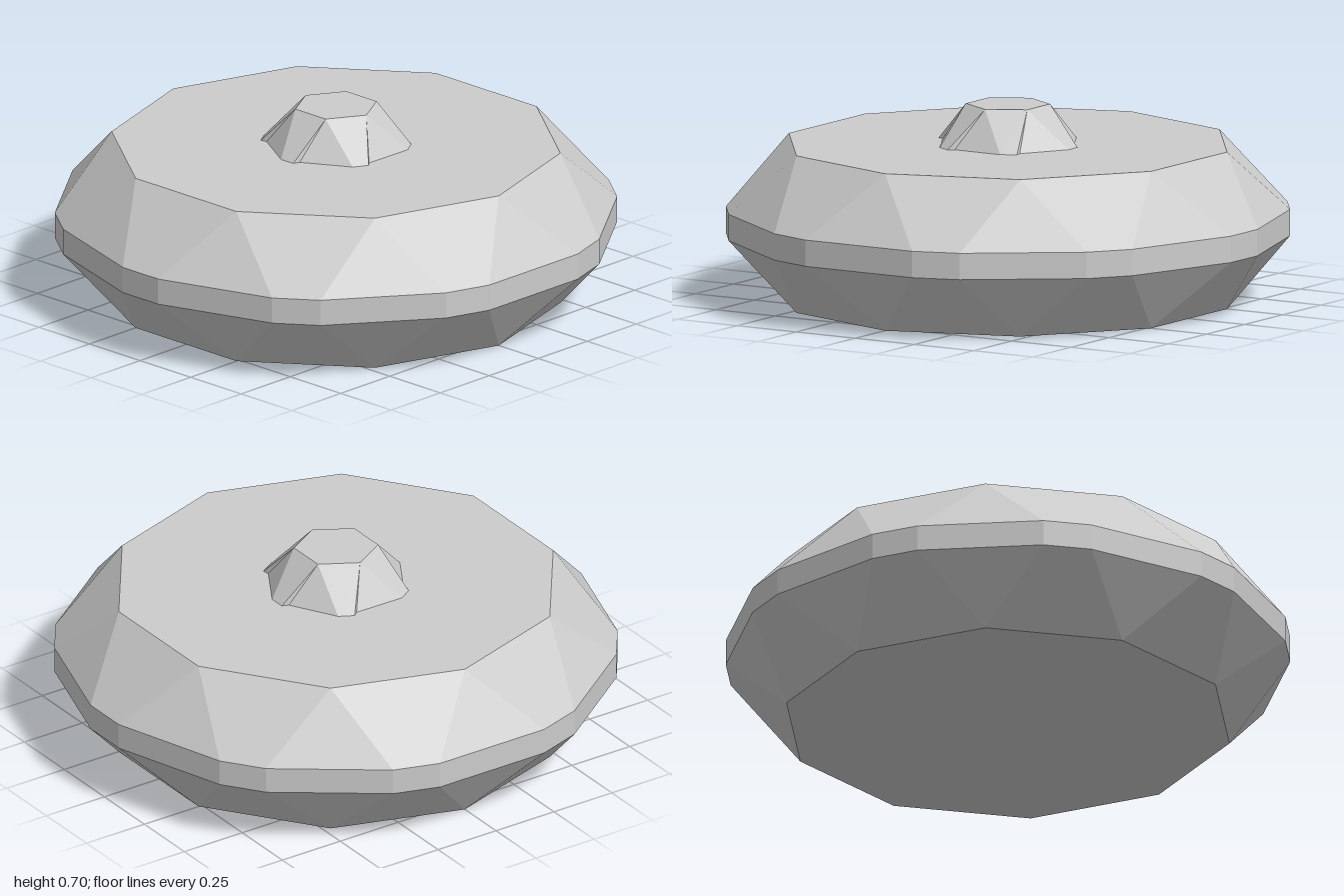
import * as THREE from 'three';
import { ConvexGeometry } from 'three/addons/geometries/ConvexGeometry.js';

const material = new THREE.MeshStandardMaterial({ color: 0xcccccc, flatShading: true });

// Point at a radius and an angle in degrees, counter-clockwise seen from above
function polar(radius, degrees, y) {
  const a = THREE.MathUtils.degToRad(degrees);
  return new THREE.Vector3(radius * Math.cos(a), y, -radius * Math.sin(a));
}

// Cut-gem body: decagon top and base with a 20-sided girdle between them
function bodyGeometry() {
  const points = [];
  for (let k = 0; k < 10; k++) {
    const a = 90 + k * 36;
    for (const y of [0, 0.565]) points.push(polar(0.805, a, y));
    for (const y of [0.235, 0.33]) {
      points.push(polar(1.0025, a - 13, y), polar(1.0025, a + 13, y));
    }
  }
  return new ConvexGeometry(points);
}

// Knob: hexagon top above a slightly twisted, notched ring
function knobGeometry() {
  const topY = 0.705, baseY = 0.563;
  const top = (k) => polar(0.15, 30 + 60 * k, topY);
  const right = (k) => polar(0.268, -2.9 + 60 * k, baseY);
  const left = (k) => polar(0.27, 9.5 + 60 * k, baseY);
  const notch = (k) => polar(0.248, 12.5 + 60 * k, baseY);
  const centre = new THREE.Vector3(0, topY, 0);
  const corners = [];
  for (let k = 0; k < 6; k++) {
    corners.push(
      centre, top(k), top(k + 1),
      right(k), left(k), top(k),
      right(k), top(k), top(k - 1),
      left(k), notch(k), top(k),
      notch(k), right(k + 1), top(k),
    );
  }
  const geometry = new THREE.BufferGeometry().setFromPoints(corners);
  geometry.computeVertexNormals();
  return geometry;
}

export function createModel() {
  const group = new THREE.Group();
  const parts = { body: bodyGeometry(), knob: knobGeometry() };
  for (const [name, geometry] of Object.entries(parts)) {
    const mesh = new THREE.Mesh(geometry, material);
    mesh.name = name;
    group.add(mesh);
  }
  return group;
}
